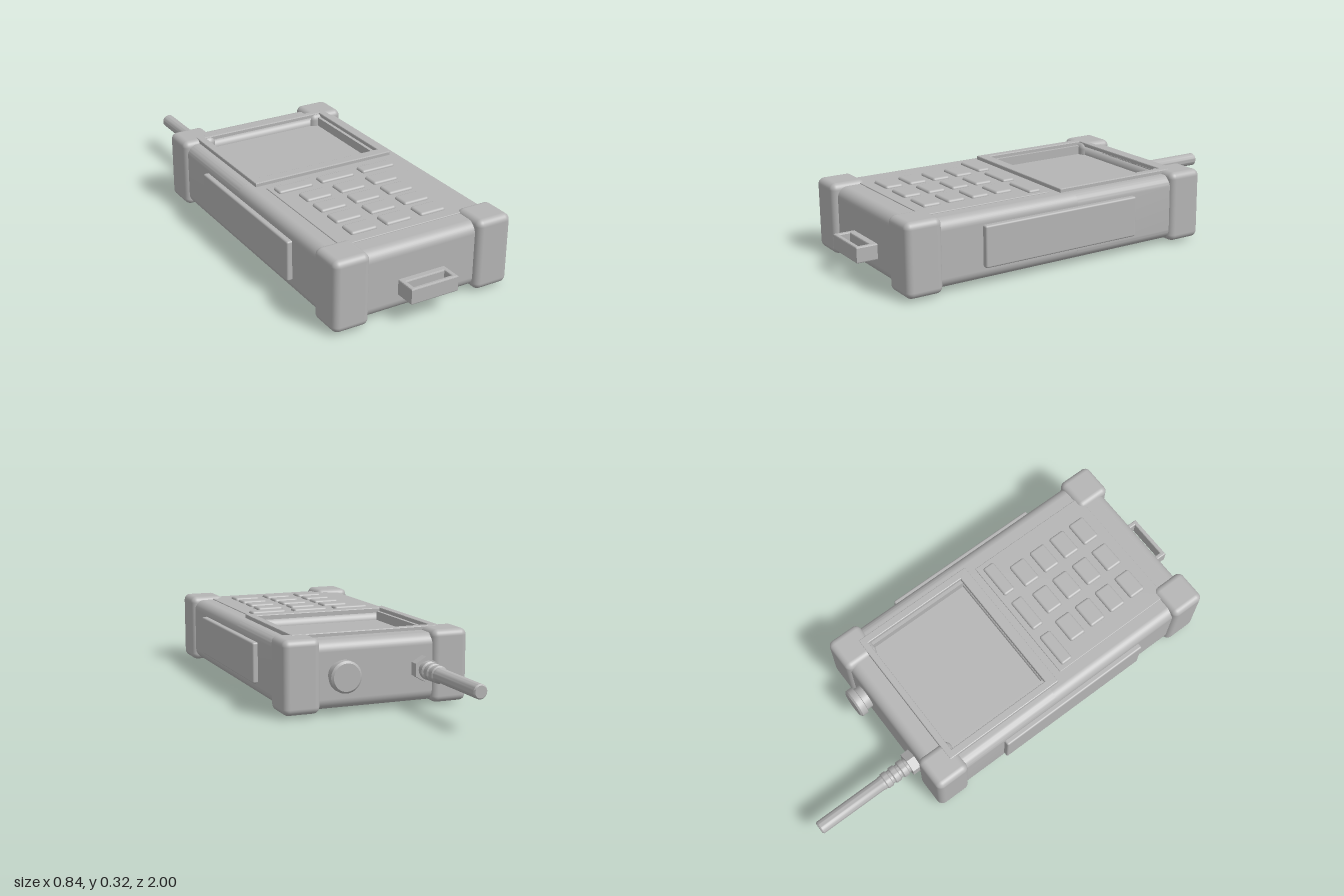
import * as THREE from 'three';
import { toCreasedNormals } from 'three/addons/utils/BufferGeometryUtils.js';
import { RoundedBoxGeometry } from 'three/addons/geometries/RoundedBoxGeometry.js';

const grey = new THREE.MeshStandardMaterial({ color: 0xb4b4b4 });
grey.name = 'grey';

const X = 0.395, Y0 = 0.02, Y1 = 0.305, R = 0.045; // body section
const BACK = -0.5, FRONT = 0.908, CUT0 = -0.37, CUT1 = 0.13; // body ends and screen recess
const FLOOR = 0.265, RX = 0.285;

export function createModel() {
  const model = new THREE.Group();
  model.name = 'handheldRadio';

  const add = (name, geometry, x = 0, y = 0, z = 0, parent = model) => {
    const mesh = new THREE.Mesh(geometry, grey);
    mesh.name = name;
    mesh.position.set(x, y, z);
    parent.add(mesh);
    return mesh;
  };
  // rounded box given by its limits
  const block = (name, x0, x1, y0, y1, z0, z1, r, parent) =>
    add(name, new RoundedBoxGeometry(x1 - x0, y1 - y0, z1 - z0, 4, r),
      (x0 + x1) / 2, (y0 + y1) / 2, (z0 + z1) / 2, parent);
  // flat rectangular ring lying in the xz plane
  const ring = (name, x, z0, z1, hx, hz0, hz1, y0, y1, bevel) => {
    const rect = (path, a, b0, b1) => {
      path.moveTo(-a, -b1); path.lineTo(a, -b1); path.lineTo(a, -b0);
      path.lineTo(-a, -b0); path.closePath();
      return path;
    };
    const shape = rect(new THREE.Shape(), x - bevel, z0 + bevel, z1 - bevel);
    shape.holes.push(rect(new THREE.Path(), hx + bevel, hz0 - bevel, hz1 + bevel));
    const g = new THREE.ExtrudeGeometry(shape, {
      depth: y1 - y0 - 2 * bevel, bevelEnabled: true,
      bevelThickness: bevel, bevelSize: bevel, bevelSegments: 2,
    });
    g.translate(0, 0, y0 + bevel);
    g.rotateX(-Math.PI / 2);
    return add(name, g);
  };
  // turned part pointing to the back
  const turned = (name, points, x, y, sides = 32) => {
    const g = new THREE.LatheGeometry(points.map(p => new THREE.Vector2(p[0], p[1])), sides);
    g.rotateX(-Math.PI / 2);
    return add(name, toCreasedNormals(g, 0.6), x, y, 0);
  };

  // Body ends: rounded boxes flattened where they meet the middle
  const bodyEnd = (name, z0, z1, flatAtStart) => {
    const g = new RoundedBoxGeometry(2 * X, Y1 - Y0, z1 - z0, 5, R);
    const p = g.attributes.position, half = (z1 - z0) / 2;
    for (let i = 0; i < p.count; i++) {
      if (flatAtStart && p.getZ(i) < 0) p.setZ(i, -half);
      if (!flatAtStart && p.getZ(i) > 0) p.setZ(i, half);
    }
    add(name, g, 0, (Y0 + Y1) / 2, (z0 + z1) / 2);
  };
  bodyEnd('bodyFront', CUT1, FRONT, true);
  bodyEnd('bodyBack', BACK, CUT0, false);

  // Body middle: section with a notch for the screen
  const s = new THREE.Shape();
  s.moveTo(-X + R, Y0);
  s.lineTo(X - R, Y0);
  s.absarc(X - R, Y0 + R, R, -Math.PI / 2, 0);
  s.lineTo(X, Y1 - R);
  s.absarc(X - R, Y1 - R, R, 0, Math.PI / 2);
  s.lineTo(RX, Y1);
  s.lineTo(RX, FLOOR);
  s.lineTo(-RX, FLOOR);
  s.lineTo(-RX, Y1);
  s.lineTo(-X + R, Y1);
  s.absarc(-X + R, Y1 - R, R, Math.PI / 2, Math.PI);
  s.lineTo(-X, Y0 + R);
  s.absarc(-X + R, Y0 + R, R, Math.PI, Math.PI * 1.5);
  const middle = new THREE.ExtrudeGeometry(s, { depth: CUT1 - CUT0, bevelEnabled: false, curveSegments: 6 });
  add('bodyMiddle', toCreasedNormals(middle, 0.6), 0, 0, CUT0);

  ring('screenFrame', 0.335, -0.4, 0.178, 0.3, CUT0, CUT1, 0.295, 0.322, 0.004);

  // Corner bumpers and side grips
  for (const side of [-1, 1]) {
    const span = (a, b) => (side > 0 ? [a, b] : [-b, -a]);
    block('frontBumper', ...span(0.25, 0.411), 0.011, 0.32, 0.773, 0.933, 0.028);
    block('backBumper', ...span(0.25, 0.411), 0.011, 0.32, -0.515, -0.355, 0.028);
    block('sideGrip', ...span(0.37, 0.418), 0.078, 0.254, -0.157, 0.587, 0.008);
  }

  // Keypad
  block('keypadPanel', -0.305, 0.305, 0.295, 0.309, 0.213, 0.802, 0.003);
  const keys = new THREE.Group();
  keys.name = 'keys';
  model.add(keys);
  for (let col = -1; col <= 1; col++) {
    const fx = col * 0.203 - 0.002, nx = col * 0.162 - 0.003;
    block('functionKey', fx - 0.081, fx + 0.081, 0.295, 0.32, 0.238, 0.295, 0.01, keys);
    for (let row = 0; row < 4; row++) {
      const z = 0.377 + row * 0.112;
      block('numberKey', nx - 0.06, nx + 0.06, 0.295, 0.32, z - 0.04, z + 0.04, 0.011, keys);
    }
  }

  // Strap loop on the front end
  ring('strapLoop', 0.109, 0.89, 1.0, 0.089, 0.935, 0.981, 0.09, 0.158, 0.005);

  // Battery cover and feet underneath
  block('batteryCover', -0.28, 0.28, 0.01, 0.03, -0.155, 0.667, 0.003);
  for (const x of [-0.232, 0.232]) for (const z of [-0.1, 0.612])
    add('foot', new THREE.CylinderGeometry(0.021, 0.019, 0.014, 24), x, 0.007, z);

  // Antenna with hexagonal nut and ribbed sleeve
  const nut = new THREE.CylinderGeometry(0.054, 0.054, 0.05, 6).rotateX(Math.PI / 2);
  add('antennaNut', toCreasedNormals(nut, 0.3), -0.205, 0.165, -0.515);
  const sleeve = [[0, 0.53], [0.034, 0.53], [0.034, 0.55]];
  for (let i = 0; i < 3; i++) {
    const z = 0.55 + i * 0.042;
    sleeve.push([0.039 - i * 0.001, z + 0.004], [0.039 - i * 0.001, z + 0.026], [0.032, z + 0.031], [0.032, z + 0.042]);
  }
  sleeve.push([0.03, 0.68], [0.03, 0.994], [0.025, 1.0], [0, 1.0]);
  turned('antenna', sleeve, -0.205, 0.165);

  // Rotary knob
  turned('knob', [[0, 0.48], [0.055, 0.48], [0.055, 0.53], [0.067, 0.534], [0.067, 0.561],
    [0.058, 0.569], [0, 0.569]], 0.16, 0.165);

  return model;
}
